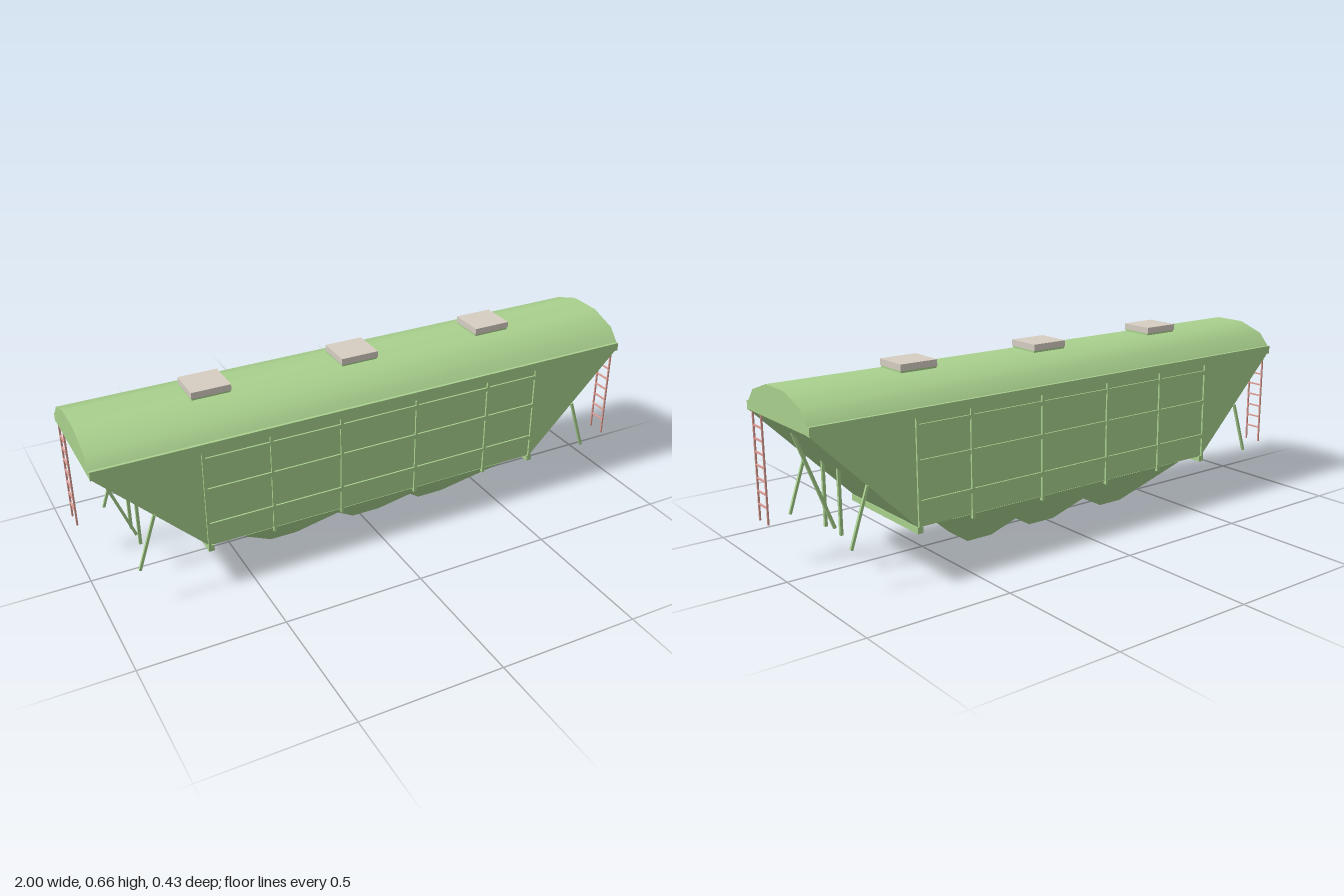
import * as THREE from 'three';
import { toCreasedNormals } from 'three/addons/utils/BufferGeometryUtils.js';

const green = new THREE.MeshStandardMaterial({ color: 0xa9d18e });
const beige = new THREE.MeshStandardMaterial({ color: 0xd6cec2 });
const pink = new THREE.MeshStandardMaterial({ color: 0xe0a097 });

function add(parent, name, geometry, material = green) {
  const mesh = new THREE.Mesh(geometry, material);
  mesh.name = name;
  parent.add(mesh);
  return mesh;
}

// Box given by its limits on each axis
function block(parent, name, [x0, x1], [y0, y1], [z0, z1], material) {
  const mesh = add(parent, name, new THREE.BoxGeometry(x1 - x0, y1 - y0, z1 - z0), material);
  mesh.position.set((x0 + x1) / 2, (y0 + y1) / 2, (z0 + z1) / 2);
  return mesh;
}

// Extrusion of a polygon, centred on its depth
function prism(points, depth) {
  const shape = new THREE.Shape(points.map(([x, y]) => new THREE.Vector2(x, y)));
  return new THREE.ExtrudeGeometry(shape, { depth, bevelEnabled: false }).translate(0, 0, -depth / 2);
}

// Square bar leaning in the x-y plane
function strut(parent, name, [x0, y0], [x1, y1], z, size = 0.01) {
  const length = Math.hypot(x1 - x0, y1 - y0);
  const mesh = add(parent, name, new THREE.BoxGeometry(size, length, size));
  mesh.position.set((x0 + x1) / 2, (y0 + y1) / 2, z);
  mesh.rotation.z = -Math.atan2(x1 - x0, y1 - y0);
  return mesh;
}

// Discharge hopper: a box narrowed towards its outlet
function hopper(parent, x0, x1) {
  const top = 0.16, w = x1 - x0;
  const g = new THREE.BoxGeometry(w, top, 0.11).translate((x0 + x1) / 2, top / 2, 0);
  const p = g.attributes.position;
  for (let i = 0; i < p.count; i++) {
    if (p.getY(i) < top / 2) continue;
    p.setX(i, p.getX(i) + Math.sign(p.getX(i) - (x0 + x1) / 2) * 0.16);
    p.setZ(i, Math.sign(p.getZ(i)) * 0.208);
  }
  g.computeVertexNormals();
  add(parent, 'hopper', g);
}

// Struts, sill and ladder at the +x end
function endFittings(name) {
  const end = new THREE.Group();
  end.name = name;
  block(end, 'endSill', [0.625, 0.645], [0.14, 0.162], [-0.212, 0.212]);
  for (const s of [-1, 1]) {
    strut(end, 'cornerStrut', [0.815, 0.337], [0.88, 0.142], s * 0.207, 0.009);
    strut(end, 'endPost', [0.83, 0.355], [0.83, 0.133], s * 0.052);
  }
  strut(end, 'centreBrace', [0.957, 0.482], [0.83, 0.145], -0.01);

  const ladder = new THREE.Group();
  ladder.name = 'ladder';
  for (const z of [0.123, 0.185])
    block(ladder, 'ladderRail', [0.992, 0.998], [0.153, 0.525], [z - 0.0025, z + 0.0025], pink);
  for (let i = 0; i < 7; i++) {
    const y = 0.21 + i * 0.0439;
    block(ladder, 'ladderRung', [0.992, 0.998], [y - 0.0025, y + 0.0025], [0.123, 0.185], pink);
  }
  end.add(ladder);
  return end;
}

export function createModel() {
  const model = new THREE.Group();
  model.name = 'hopperBody';

  // Body with sloping end sheets
  add(model, 'body', prism([[-0.64, 0.16], [0.64, 0.16], [1, 0.52], [1, 0.53], [-1, 0.53], [-1, 0.52]], 0.412));

  // Curved roof and the eaves along both sides
  const half = [[0.205, 0.52], [0.205, 0.545], [0.163, 0.593], [0.062, 0.627]];
  const arch = [...half, ...half.map(([x, y]) => [-x, y]).reverse()];
  const roof = add(model, 'roof', toCreasedNormals(prism(arch, 2), 0.7));
  roof.rotation.y = Math.PI / 2;
  for (const s of [-1, 1]) {
    const eave = block(model, 'eave', [-1, 1], [0.518, 0.548], [0.199, 0.213]);
    eave.position.z *= s;
  }

  // Side ribs
  for (const s of [-1, 1]) {
    const ribs = new THREE.Group();
    ribs.name = 'sideRibs';
    for (const x of [-0.64, -0.405, -0.15, 0.14, 0.43, 0.635])
      block(ribs, 'sidePost', [x - 0.005, x + 0.005], [0.145, 0.53], [s * 0.207 - 0.006, s * 0.207 + 0.006]);
    for (const y of [0.24, 0.373, 0.488])
      block(ribs, 'sideRail', [-0.64, 0.635], [y - 0.008, y + 0.008], [s * 0.207 - 0.005, s * 0.207 + 0.005]);
    model.add(ribs);
  }

  // Three discharge hoppers
  for (const [x0, x1] of [[-0.36, -0.26], [-0.03, 0.08], [0.25, 0.35]]) hopper(model, x0, x1);

  // Roof hatches
  for (const x of [-0.547, -0.006, 0.531]) {
    block(model, 'hatchCollar', [x - 0.067, x + 0.067], [0.6, 0.636], [-0.061, 0.061]);
    block(model, 'hatchLid', [x - 0.069, x + 0.069], [0.634, 0.656], [-0.064, 0.064], beige);
  }

  // The ends match under a half turn
  const rear = endFittings('rightEnd');
  rear.rotation.y = Math.PI;
  model.add(endFittings('leftEnd'), rear);
  return model;
}
